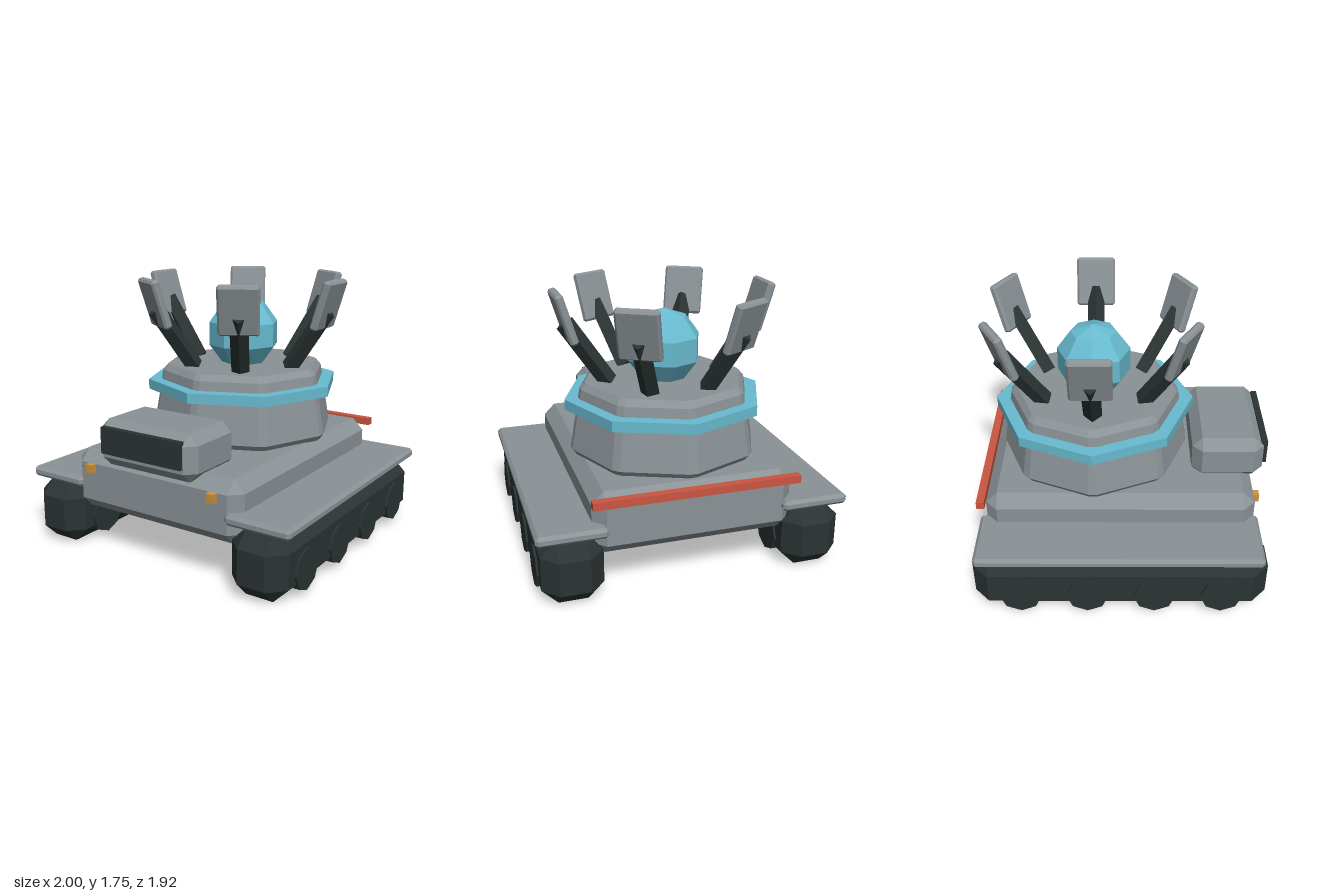
import * as THREE from 'three';
import { ConvexGeometry } from 'three/addons/geometries/ConvexGeometry.js';

const paint = (name, color) => {
  const m = new THREE.MeshStandardMaterial({ color });
  m.name = name;
  return m;
};

// Box with every edge cut by a flat bevel
function bevelBox(w, h, d, b) {
  const points = [];
  for (const i of [-1, 1]) for (const j of [-1, 1]) for (const k of [-1, 1]) {
    const x = w / 2, y = h / 2, z = d / 2;
    points.push(
      new THREE.Vector3(i * x, j * (y - b), k * (z - b)),
      new THREE.Vector3(i * (x - b), j * y, k * (z - b)),
      new THREE.Vector3(i * (x - b), j * (y - b), k * z));
  }
  return new ConvexGeometry(points);
}

// Eight-sided tapered body with cut corners, from [radius, height] rings
function bevelOctagon(rings, cut) {
  const points = [];
  for (const [r, y] of rings) for (let i = 0; i < 8; i++) for (const s of [-1, 1]) {
    const a = i * Math.PI / 4 + s * cut;
    points.push(new THREE.Vector3(r * Math.sin(a), y, r * Math.cos(a)));
  }
  return new ConvexGeometry(points);
}

export function createModel() {
  const model = new THREE.Group();
  model.name = 'trackedVehicle';
  const grey = paint('greyArmour', 0x8b9397);
  const dark = paint('darkRubber', 0x2b3433);
  const teal = paint('tealGlow', 0x68bbd0);
  const red = paint('redLight', 0xcb5643);
  const amber = paint('amberLight', 0xcf943e);

  const add = (name, geometry, material, x, y, z, parent = model) => {
    // separate corners give every face its own flat normal
    const g = geometry.index ? geometry.toNonIndexed() : geometry;
    g.computeVertexNormals();
    const mesh = new THREE.Mesh(g, material);
    mesh.name = name;
    mesh.position.set(x, y, z);
    parent.add(mesh);
    return mesh;
  };

  // Hull and front cabin
  add('hull', bevelBox(1.29, 0.405, 1.76, 0.077), grey, 0, 0.472, -0.01);
  add('cabin', bevelBox(0.75, 0.3, 0.475, 0.065), grey, 0, 0.777, 0.703);
  add('cabinWindow', new THREE.BoxGeometry(0.61, 0.17, 0.04), dark, 0, 0.807, 0.945);
  add('rearLightBar', new THREE.BoxGeometry(1.32, 0.05, 0.052), red, 0, 0.642, -0.911);

  // Tracks, wheels, fenders and front lamps on both sides
  for (const s of [-1, 1]) {
    const side = new THREE.Group();
    side.name = s > 0 ? 'leftSide' : 'rightSide';
    model.add(side);
    add('track', bevelBox(0.385, 0.42, 1.9, 0.1), dark, s * 0.778, 0.21, -0.01, side);
    for (let i = 0; i < 4; i++) {
      const wheel = add('wheel', new THREE.CylinderGeometry(0.135, 0.135, 0.412, 8), dark,
        s * 0.778, 0.16, 0.64 - i * 0.431, side);
      wheel.rotation.z = Math.PI / 2;
    }
    add('fender', bevelBox(0.44, 0.068, 1.83, 0.02), grey, s * 0.78, 0.454, -0.018, side);
    add('frontLamp', new THREE.BoxGeometry(0.055, 0.055, 0.045), amber, s * 0.473, 0.57, 0.885, side);
  }

  // Turret
  const turret = new THREE.Group();
  turret.name = 'turret';
  turret.position.z = -0.185;
  model.add(turret);
  add('turretBody', bevelOctagon([[0.6, 0.67], [0.63, 0.71], [0.56, 1.11], [0.525, 1.15]], 0.045),
    grey, 0, 0, 0, turret);
  add('turretRing', new THREE.CylinderGeometry(0.665, 0.665, 0.068, 8), teal, 0, 1.014, 0, turret);
  add('energyOrb', new THREE.SphereGeometry(0.253, 8, 5), teal, 0, 1.351, 0, turret);

  // Six leaning arms, each carrying a panel
  const foot = new THREE.Vector2(0.37, 1.145);
  const tip = new THREE.Vector2(0.645, 1.55);
  const lean = Math.atan2(tip.x - foot.x, tip.y - foot.y);
  for (let i = 0; i < 6; i++) {
    const emitter = new THREE.Group();
    emitter.name = 'emitter';
    emitter.rotation.y = i * Math.PI / 3;
    turret.add(emitter);
    const arm = add('emitterArm', new THREE.CylinderGeometry(0.06, 0.06, foot.distanceTo(tip), 4),
      dark, (foot.x + tip.x) / 2, (foot.y + tip.y) / 2, 0, emitter);
    arm.rotation.z = -lean;
    const panel = add('emitterPanel', bevelBox(0.055, 0.33, 0.265, 0.014), grey, 0.652, 1.59, 0, emitter);
    panel.rotation.z = -0.3;
  }
  return model;
}
